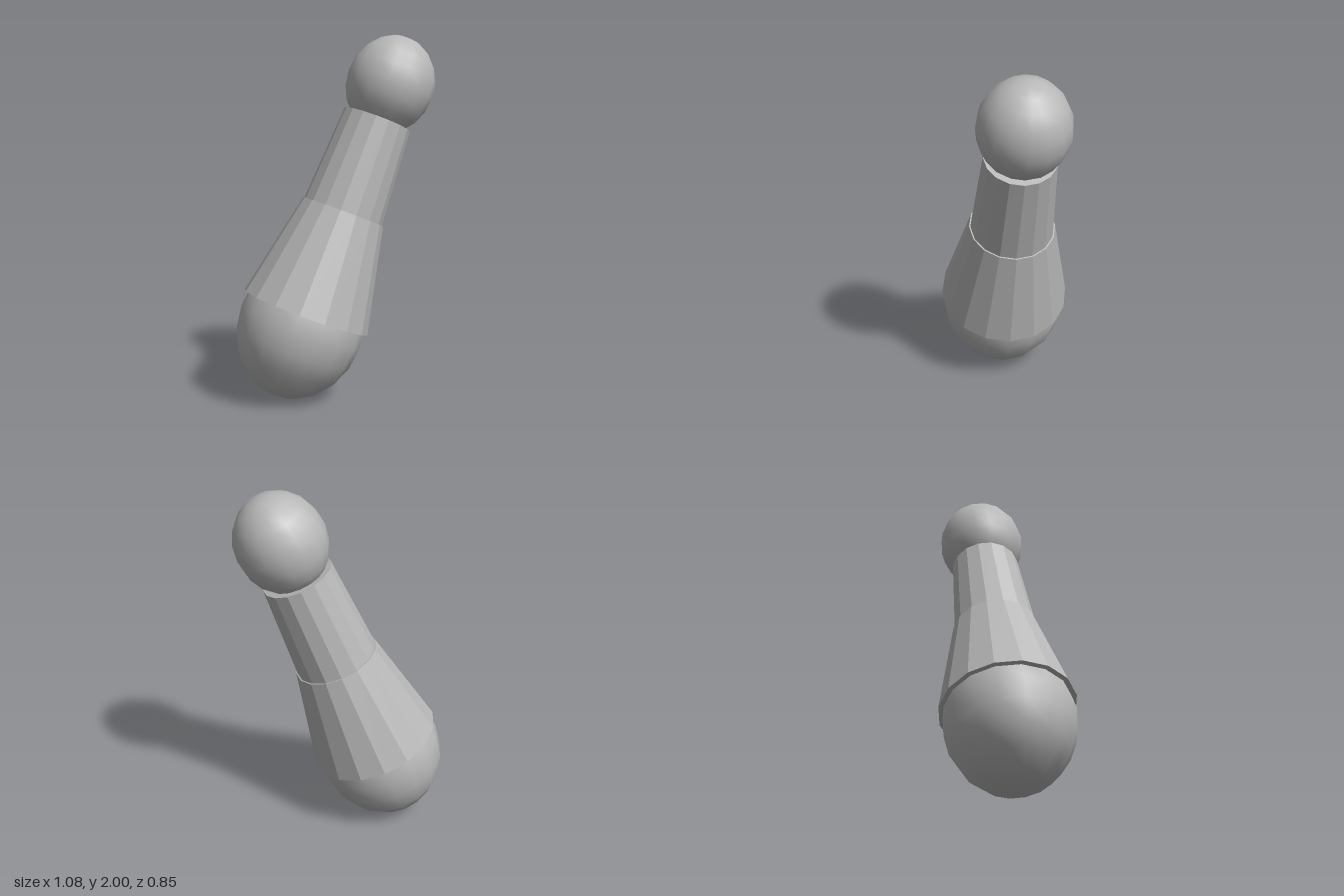
import * as THREE from 'three';

export function createModel() {
  const model = new THREE.Group();
  model.name = 'leaningFigure';

  const grey = new THREE.MeshStandardMaterial({ color: 0xb8b8b8 });
  grey.name = 'grey';
  // same colour, faceted for the sleeves
  const facetedGrey = grey.clone();
  facetedGrey.flatShading = true;
  facetedGrey.name = 'grey faceted';

  // everything is threaded on one tilted axis that starts at the base centre
  const axis = new THREE.Group();
  axis.name = 'tiltedBody';
  axis.position.set(-0.19, 0.4, 0.07);
  const direction = new THREE.Vector3(0.333, 0.926, -0.1755).normalize();
  axis.quaternion.setFromUnitVectors(new THREE.Vector3(0, 1, 0), direction);
  model.add(axis);

  // smooth ball stretched along the axis
  function addBall(name, radius, halfLength, along) {
    const geometry = new THREE.SphereGeometry(1, 16, 10);
    geometry.scale(radius, halfLength, radius);
    const mesh = new THREE.Mesh(geometry, grey);
    mesh.name = name;
    mesh.position.y = along;
    axis.add(mesh);
  }

  // sixteen-sided tapered sleeve between two points on the axis
  function addSleeve(name, bottomRadius, topRadius, from, to) {
    const geometry = new THREE.CylinderGeometry(topRadius, bottomRadius, to - from, 16);
    const mesh = new THREE.Mesh(geometry, facetedGrey);
    mesh.name = name;
    mesh.position.y = (from + to) / 2;
    axis.add(mesh);
  }

  addBall('roundedBase', 0.35, 0.407, 0);
  addSleeve('lowerSleeve', 0.365, 0.237, 0.085, 0.68);
  addSleeve('upperSleeve', 0.231, 0.194, 0.66, 1.226);
  addBall('head', 0.246, 0.277, 1.436);

  return model;
}
